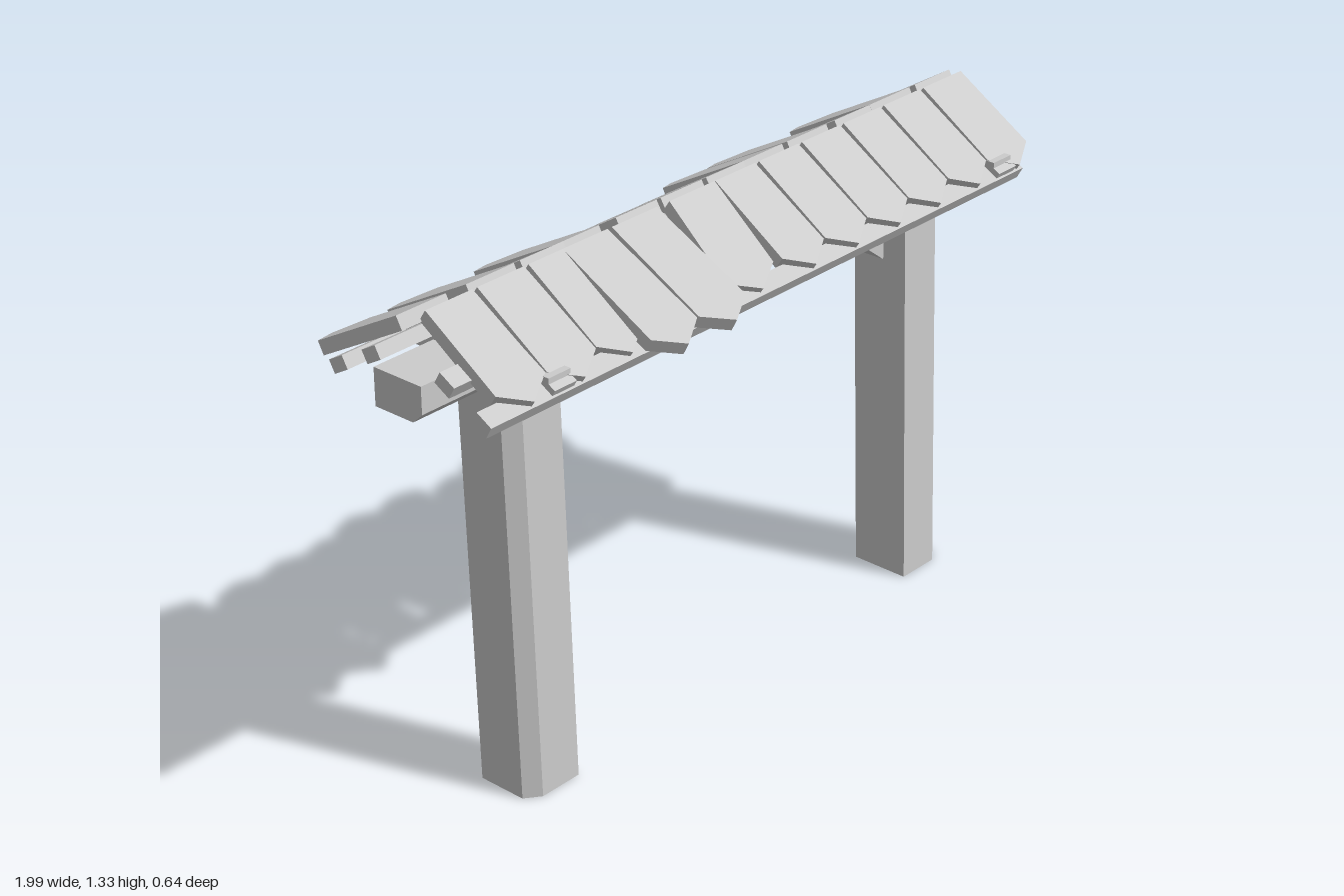
import * as THREE from 'three';

const wood = new THREE.MeshStandardMaterial({ color: 0xcccccc, flatShading: true });
wood.name = 'pale grey wood';

function add(parent, geometry, name) {
  const mesh = new THREE.Mesh(geometry, wood);
  mesh.name = name;
  parent.add(mesh);
  return mesh;
}

function extrude(points, depth) {
  const shape = new THREE.Shape(points.map(([x, y]) => new THREE.Vector2(x, y)));
  return new THREE.ExtrudeGeometry(shape, { depth, bevelEnabled: false });
}

// Straight timber between two points, w wide and t thick
function timber(parent, name, a, b, w, t) {
  const from = new THREE.Vector3(...a), to = new THREE.Vector3(...b);
  const mesh = add(parent, new THREE.BoxGeometry(w, t, from.distanceTo(to)), name);
  mesh.position.copy(from).add(to).multiplyScalar(0.5);
  mesh.lookAt(to);
}

// Leaning post with a chamfered outer front corner; side is +1 or -1
function post(parent, x, side) {
  const h = 1.15;
  const outline = [[-0.082, 0.055], [-0.082, -0.11], [0.042, -0.11], [0.082, -0.08], [0.082, 0.055]]
    .map(([px, py]) => [px * side, py]);
  const geo = extrude(outline, h);
  geo.rotateX(-Math.PI / 2);
  const p = geo.attributes.position;
  for (let i = 0; i < p.count; i++) p.setZ(i, p.getZ(i) - 0.037 * p.getY(i) / h);
  geo.computeVertexNormals();
  add(parent, geo, 'post').position.x = x;
}

// Pointed shingle running from the ridge to a tip at distance "reach"
function shingle(parent, x0, x1, reach, start, skew = 0) {
  const drop = 0.165, thick = 0.036;
  const run = reach - start, len = Math.hypot(run, drop), slope = Math.atan2(drop, run);
  const w = (x1 - x0) / 2 - 0.003, side = len - 0.05;
  const geo = extrude([
    [-w + 0.004 + skew, 0], [-w - skew * 0.5, -side], [-skew * 0.5, -len],
    [w - skew * 0.5, -side], [w - 0.004 + skew, 0],
  ], thick);
  geo.translate(0, 0, -thick);
  const mesh = add(parent, geo, 'shingle');
  mesh.rotation.x = slope - Math.PI / 2;
  mesh.position.set((x0 + x1) / 2, 1.33, start);
}

export function createModel() {
  const model = new THREE.Group();
  model.name = 'roofed gateway';

  // Posts with braces along the beam and out to both eaves
  for (const [side, x, braceX] of [[-1, -0.675, -0.66], [1, 0.76, 0.745]]) {
    post(model, x, side);
    const inner = x - side * 0.06;
    timber(model, 'beamBrace', [inner, 0.92, -0.03], [inner - side * 0.27, 1.125, -0.03], 0.08, 0.05);
    timber(model, 'frontEaveBrace', [braceX, 1.03, 0.03], [braceX, 1.16, 0.2], 0.085, 0.05);
    timber(model, 'backEaveBrace', [braceX, 1.01, -0.06], [braceX, 1.16, -0.23], 0.085, 0.05);
  }

  // Main beam with a chamfered lower edge
  const beam = extrude([[-0.03, 1.17], [-0.03, 1.10], [0, 1.072], [0.12, 1.072], [0.12, 1.17]], 1.89);
  beam.rotateY(Math.PI / 2);
  // The profile now has z = -x, so the chamfer faces the front
  add(model, beam, 'mainBeam').position.x = -0.98;

  // Trusses: tie and two rafters
  for (const x of [-0.76, 0.86]) {
    timber(model, 'tie', [x, 1.165, -0.24], [x, 1.165, 0.24], 0.07, 0.05);
    for (const s of [-1, 1])
      timber(model, 'rafter', [x, 1.285, s * 0.005], [x, 1.15, s * 0.25], 0.07, 0.035);
  }

  // Long battens under the shingles
  for (const s of [-1, 1]) {
    for (const [z, y] of [[0.115, 1.205], [0.225, 1.145]]) {
      const batten = add(model, new THREE.BoxGeometry(1.92, 0.035, 0.05), 'batten');
      batten.position.set(-0.03, y, s * z);
      batten.rotation.x = s * 0.52;
    }
  }

  // Front shingles: [left edge, right edge, reach, skew]
  const front = new THREE.Group();
  front.name = 'frontShingles';
  model.add(front);
  [
    [-0.94, -0.78, 0.26], [-0.78, -0.617, 0.26], [-0.617, -0.46, 0.255],
    [-0.505, -0.342, 0.32], [-0.342, -0.173, 0.32], [-0.165, 0.01, 0.255, 0.022],
    [0.02, 0.18, 0.26], [0.18, 0.342, 0.26], [0.342, 0.503, 0.26],
    [0.503, 0.663, 0.26], [0.663, 0.824, 0.26], [0.824, 0.995, 0.26],
  ].forEach(([a, b, reach, skew]) => shingle(front, a, b, reach, 0.004, skew));

  // Back shingles, laid out the same way and turned to the rear
  const back = new THREE.Group();
  back.name = 'backShingles';
  back.rotation.y = Math.PI;
  model.add(back);
  [
    [-1.0, -0.834, 0.325], [-0.786, -0.62, 0.325], [-0.615, -0.46, 0.29],
    [-0.508, -0.34, 0.325], [-0.297, -0.142, 0.29], [-0.142, 0.018, 0.29],
    [0.02, 0.17, 0.29], [0.153, 0.315, 0.325], [0.32, 0.485, 0.325],
    [0.503, 0.655, 0.29], [0.642, 0.818, 0.325], [0.826, 0.984, 0.29],
  ].forEach(([a, b, reach]) => shingle(back, -b, -a, reach, 0.025));

  return model;
}
